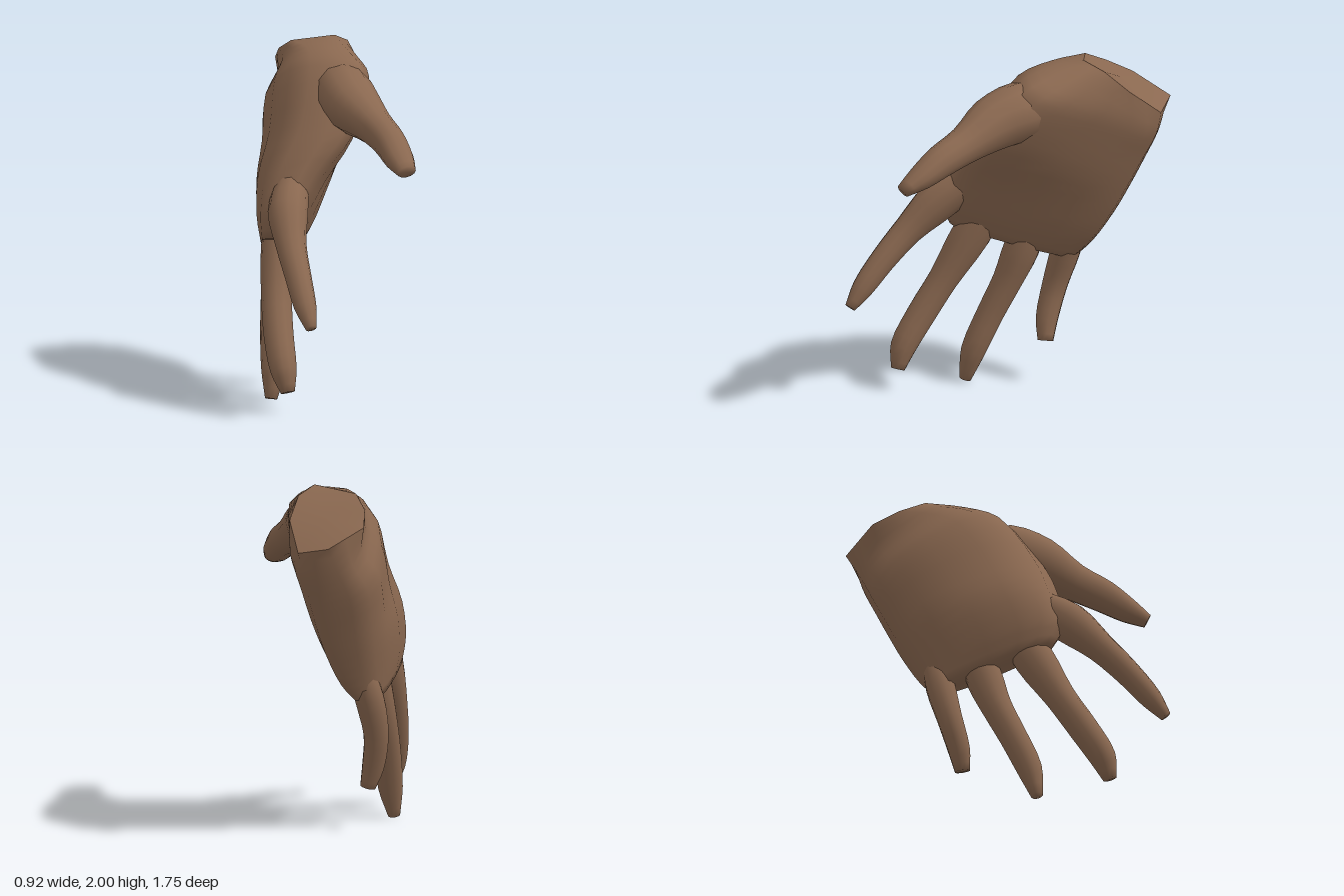
import * as THREE from 'three';

const V = (a) => new THREE.Vector3(a[0], a[1], a[2]);
// direction the palm faces
const PALM = new THREE.Vector3(0.87, -0.07, 0.44).normalize();

// Skin through rings of equal point count, smoothed lengthwise, with a closed end
function loft(rings, steps = 3) {
  const n = rings[0].length;
  const rows = (rings.length - 1) * steps;
  const columns = [];
  for (let j = 0; j < n; j++) {
    columns.push(new THREE.CatmullRomCurve3(rings.map((r) => r[j])).getPoints(rows));
  }
  const pos = [];
  const index = [];
  for (let i = 0; i <= rows; i++) {
    for (let j = 0; j < n; j++) pos.push(...columns[j][i].toArray());
  }
  for (let i = 0; i < rows; i++) {
    for (let j = 0; j < n; j++) {
      const k = (j + 1) % n;
      const a = i * n + j, b = i * n + k, c = a + n, d = b + n;
      index.push(a, c, b, b, c, d);
    }
  }
  const end = new THREE.Vector3();
  rings[rings.length - 1].forEach((p) => end.addScaledVector(p, 1 / n));
  pos.push(...end.toArray());
  const e = (rows + 1) * n;
  for (let j = 0; j < n; j++) index.push(e, rows * n + ((j + 1) % n), rows * n + j);
  const g = new THREE.BufferGeometry();
  g.setAttribute('position', new THREE.Float32BufferAttribute(pos, 3));
  g.setIndex(index);
  g.computeVertexNormals();
  return g;
}

// Finger from [x, y, z, half width, half thickness] stations
function digit(stations, sides = 12) {
  const centres = stations.map(V);
  const rings = stations.map((s, i) => {
    const t = centres[Math.min(i + 1, centres.length - 1)].clone()
      .sub(centres[Math.max(i - 1, 0)]).normalize();
    const u = t.clone().cross(PALM).normalize();
    const v = u.clone().cross(t);
    return Array.from({ length: sides }, (_, j) => {
      const a = (j / sides) * Math.PI * 2;
      return centres[i].clone()
        .addScaledVector(u, Math.cos(a) * s[3])
        .addScaledVector(v, Math.sin(a) * (s[4] ?? s[3]));
    });
  });
  return loft(rings);
}

// Palm section between its little-finger edge and its index edge, with separate
// depths towards the palm and the back, and a swelling below the thumb
function palmRing(p, q, palmDepth, backDepth, swelling = 0) {
  const c = V(p).add(V(q)).multiplyScalar(0.5);
  const w = V(q).sub(c);
  const round = (x) => Math.sign(x) * Math.abs(x) ** 0.8;
  return Array.from({ length: 16 }, (_, j) => {
    const a = (j / 16) * Math.PI * 2;
    const s = round(Math.sin(a));
    const depth = s > 0 ? palmDepth + swelling * Math.max(0, Math.cos(a)) : backDepth;
    return c.clone()
      .addScaledVector(w, round(Math.cos(a)))
      .addScaledVector(PALM, s * depth);
  });
}

export function createModel() {
  const hand = new THREE.Group();
  hand.name = 'hand';
  const skin = new THREE.MeshStandardMaterial({ color: 0x8a6850 });
  skin.name = 'brown skin';
  const add = (name, geometry) => {
    const m = new THREE.Mesh(geometry, skin);
    m.name = name;
    hand.add(m);
  };

  // Eight-sided wrist cut, with a midpoint on every side
  const corners = [
    [0.26, 2.0, -0.33], [0.37, 1.95, -0.4], [0.45, 1.83, -0.52], [0.45, 1.67, -0.73],
    [0.31, 1.71, -0.88], [0.075, 1.81, -0.77], [0.035, 1.89, -0.62], [0.05, 1.96, -0.47],
  ].map(V);
  const wrist = [];
  corners.forEach((c, i) => {
    wrist.push(corners[(i + 7) % 8].clone().lerp(c, 0.5), c.clone());
  });

  // Palm from wrist, past the thumb root and its web, to the knuckles
  add('palm', loft([
    wrist,
    palmRing([0.35, 1.53, -0.775], [0.16, 1.96, -0.16], 0.18, 0.27, 0.06),
    palmRing([0.31, 1.37, -0.71], [0.14, 1.89, 0.04], 0.15, 0.36, 0.13),
    palmRing([0.26, 1.2, -0.64], [0.0, 1.58, 0.22], 0.13, 0.34, 0.1),
    palmRing([0.2, 1.04, -0.575], [-0.18, 1.33, 0.26], 0.12, 0.28, 0.03),
    palmRing([0.1, 0.85, -0.49], [-0.3, 1.11, 0.28], 0.1, 0.19),
    palmRing([0.0, 0.735, -0.43], [-0.33, 0.95, 0.2], 0.07, 0.1),
  ]));

  // Wrist cap
  const cap = new THREE.BufferGeometry();
  const centre = new THREE.Vector3();
  corners.forEach((c) => centre.addScaledVector(c, 1 / 8));
  cap.setFromPoints([centre, ...corners]);
  cap.setIndex(corners.flatMap((_, i) => [0, i + 1, ((i + 1) % 8) + 1]));
  cap.computeVertexNormals();
  add('wristCap', cap);

  // Thumb, with its root buried in the palm
  add('thumb', digit([
    [0.17, 1.74, -0.25, 0.1, 0.1],
    [0.16, 1.73, 0.02, 0.17, 0.17],
    [0.155, 1.68, 0.22, 0.155, 0.16],
    [0.195, 1.605, 0.42, 0.11, 0.11],
    [0.215, 1.54, 0.6, 0.095, 0.095],
    [0.22, 1.465, 0.74, 0.07, 0.085],
    [0.22, 1.41, 0.85, 0.038, 0.055],
  ]));

  // Four fingers
  const fingers = {
    indexFinger: [
      [-0.17, 1.28, 0.1, 0.09], [-0.285, 1.12, 0.3, 0.12, 0.115], [-0.335, 0.96, 0.47, 0.088],
      [-0.355, 0.8, 0.63, 0.075], [-0.365, 0.65, 0.76, 0.063], [-0.365, 0.545, 0.845, 0.032],
    ],
    middleFinger: [
      [-0.19, 1.1, 0.0, 0.09], [-0.26, 0.89, 0.1, 0.115, 0.1], [-0.33, 0.63, 0.24, 0.088],
      [-0.37, 0.42, 0.37, 0.085], [-0.385, 0.24, 0.48, 0.075], [-0.375, 0.12, 0.52, 0.04],
    ],
    ringFinger: [
      [-0.1, 1.0, -0.22, 0.09], [-0.14, 0.79, -0.16, 0.105, 0.095], [-0.19, 0.6, -0.1, 0.088],
      [-0.24, 0.4, -0.015, 0.08], [-0.28, 0.18, 0.075, 0.072], [-0.31, 0.01, 0.11, 0.035],
    ],
    littleFinger: [
      [0.02, 0.96, -0.42, 0.07], [-0.045, 0.77, -0.4, 0.085], [-0.095, 0.55, -0.355, 0.073],
      [-0.09, 0.36, -0.3, 0.064], [-0.065, 0.24, -0.275, 0.045],
    ],
  };
  for (const [name, stations] of Object.entries(fingers)) add(name, digit(stations));
  return hand;
}
